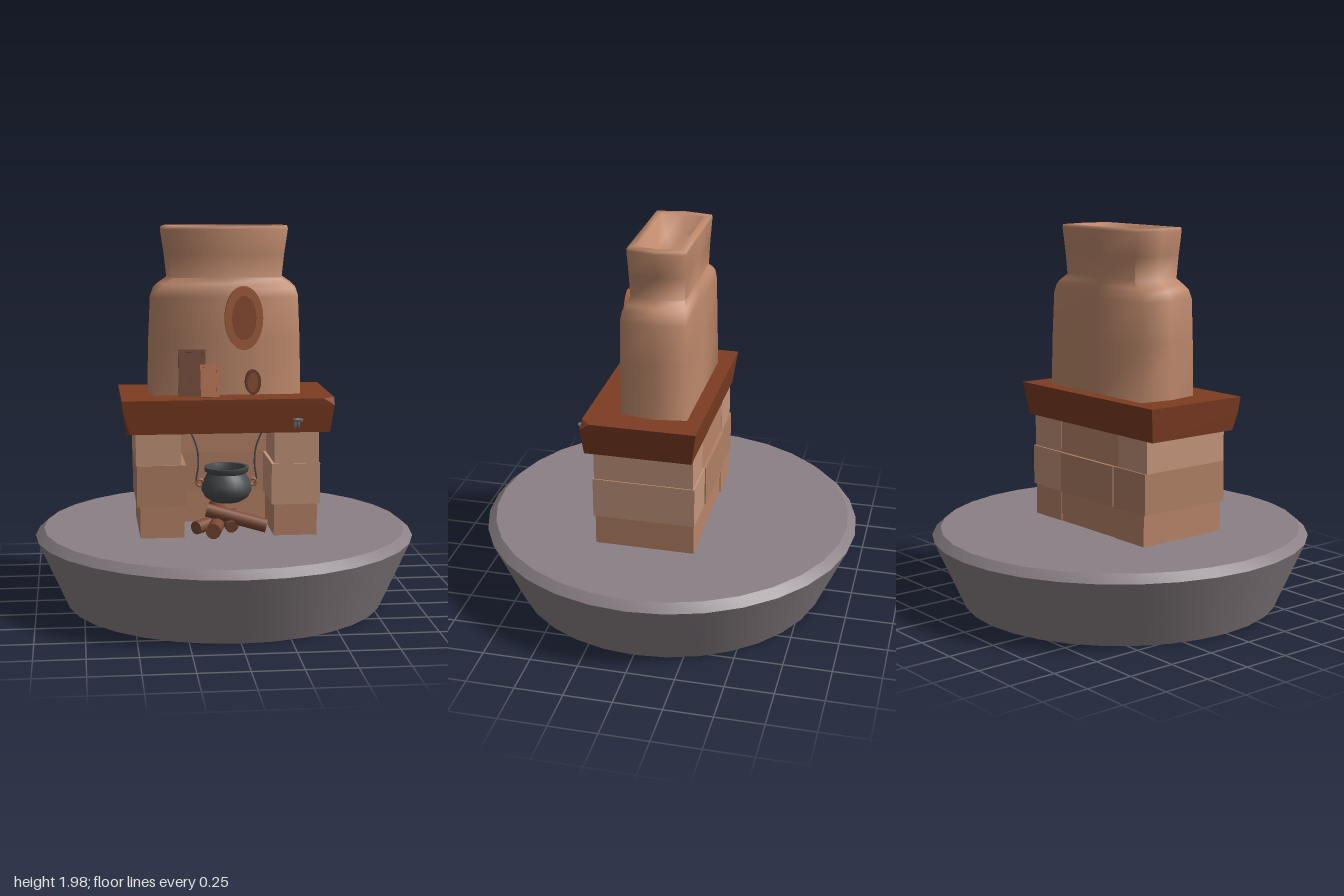
import * as THREE from 'three';
import { toCreasedNormals } from 'three/addons/utils/BufferGeometryUtils.js';
import { ConvexGeometry } from 'three/addons/geometries/ConvexGeometry.js';

const V = (x, y, z) => new THREE.Vector3(x, y, z);
const mat = (color, extra = {}) => new THREE.MeshStandardMaterial({ color, ...extra });

const SLATE = mat(0x8a8085);
const CLAY = mat(0xbd886b, { side: THREE.DoubleSide });
const STONES = [mat(0xb88468), mat(0xb08065), mat(0xc4957b)];
const MANTEL = mat(0x7d3c22);
const IRON = mat(0x484c4e, { side: THREE.DoubleSide });
const METAL = mat(0x70747a);
const BARK = mat(0x7c4a35);
const COPPER = mat(0xa8623f);
const DARK = mat(0x6e4331);
const MIDWOOD = mat(0x8f5034);

function add(parent, name, geometry, material, x = 0, y = 0, z = 0) {
  const mesh = new THREE.Mesh(geometry, material);
  mesh.name = name;
  mesh.position.set(x, y, z);
  parent.add(mesh);
  return mesh;
}

// Box given by its limits on each axis
function block(parent, name, material, x0, x1, y0, y1, z0, z1) {
  return add(parent, name, new THREE.BoxGeometry(x1 - x0, y1 - y0, z1 - z0), material,
    (x0 + x1) / 2, (y0 + y1) / 2, (z0 + z1) / 2);
}

function lathe(points, sides, crease) {
  const g = new THREE.LatheGeometry(points.map(p => new THREE.Vector2(...p)), sides);
  return toCreasedNormals(g, crease);
}

// Round bar between two points
function bar(parent, name, a, b, r, material) {
  const g = new THREE.CylinderGeometry(r, r, a.distanceTo(b), 12);
  const m = add(parent, name, g, material);
  m.position.copy(a).add(b).multiplyScalar(0.5);
  m.quaternion.setFromUnitVectors(V(0, 1, 0), b.clone().sub(a).normalize());
  return m;
}

function tube(points, r, seg = 20) {
  return new THREE.TubeGeometry(new THREE.CatmullRomCurve3(points), seg, r, 8);
}

// Loft of six-sided sections: [y, corner x, side x, front z, back z]
function loft(sections) {
  const pos = [], idx = [], n = 8;
  for (const [y, c, m, f, b] of sections) {
    const mid = (f + b) / 2;
    for (const [x, z] of [[-c, f], [0, f], [c, f], [m, mid], [c, b], [0, b], [-c, b], [-m, mid]]) pos.push(x, y, z);
  }
  for (let i = 0; i < sections.length - 1; i++) {
    for (let j = 0; j < n; j++) {
      const a = i * n + j, b = i * n + (j + 1) % n;
      idx.push(a, b, b + n, a, b + n, a + n);
    }
  }
  const g = new THREE.BufferGeometry();
  g.setAttribute('position', new THREE.Float32BufferAttribute(pos, 3));
  g.setIndex(idx);
  return toCreasedNormals(g, 1.45);
}

// Oval frame with an inset plate, its back at z
function ovalFrame(parent, name, x, y, z, rx, ry, ix, iy, depth, frameMat, plateMat) {
  const group = new THREE.Group();
  group.name = name;
  const shape = new THREE.Shape().absellipse(0, 0, rx, ry, 0, Math.PI * 2);
  shape.holes.push(new THREE.Path().absellipse(0, 0, ix, iy, 0, Math.PI * 2));
  const ring = new THREE.ExtrudeGeometry(shape, { depth, bevelEnabled: false, curveSegments: 24 });
  add(group, name + 'Rim', toCreasedNormals(ring, 0.7), frameMat);
  const plate = new THREE.CylinderGeometry(1, 1, depth * 0.7, 24).rotateX(Math.PI / 2).scale(ix, iy, 1);
  add(group, name + 'Plate', plate, plateMat, 0, 0, depth * 0.35);
  group.position.set(x, y, z);
  parent.add(group);
}

// Rectangular frame leaning back, pivoting on its bottom edge
function leaningFrame(parent, name, x, z, w, h, t, lean, frameMat, plateMat) {
  const group = new THREE.Group();
  group.name = name;
  const b = 0.014;
  for (const s of [-1, 1]) {
    add(group, name + 'Side', new THREE.BoxGeometry(b, h, t), frameMat, s * (w - b) / 2, h / 2, 0);
    add(group, name + 'Rail', new THREE.BoxGeometry(w - 2 * b, b, t), frameMat, 0, h / 2 + s * (h - b) / 2, 0);
  }
  add(group, name + 'Picture', new THREE.BoxGeometry(w - 2 * b, h - 2 * b, t * 0.5), plateMat, 0, h / 2, -t * 0.2);
  group.position.set(x, 1.122, z);
  group.rotation.x = -lean;
  parent.add(group);
}

export function createModel() {
  const root = new THREE.Group();
  root.name = 'fireplace';

  // Round plinth with a bevelled top edge
  add(root, 'plinth', lathe([[0, 0], [0.84, 0], [1, 0.36], [0.955, 0.4], [0, 0.4]], 32, 0.6), SLATE);

  // Stone pillars: [y0, y1, left x0, x1, right x0, x1, back z, front z]
  const courses = [
    [0.4, 0.565, -0.46, -0.235, 0.228, 0.452, -0.22, 0.3],
    [0.565, 0.778, -0.476, -0.224, 0.215, 0.466, -0.226, 0.308],
    [0.778, 0.95, -0.48, -0.25, 0.23, 0.46, -0.217, 0.302],
  ];
  courses.forEach(([y0, y1, a, b, c, d, z0, z1], i) => {
    block(root, 'pillarStone', i === 1 ? STONES[1] : STONES[i], a, b, y0, y1, z0, z1);
    block(root, 'pillarStone', i === 1 ? STONES[2] : STONES[i], c, d, y0, y1, z0, z1);
    // Back wall of the hearth
    block(root, 'backWallStone', STONES[i === 2 ? 0 : i], b, c, y0, y1, i === 1 ? -0.232 : -0.215, -0.05);
  });

  // Tapered mantel with two chipped corners
  add(root, 'mantel', new ConvexGeometry([
    V(-0.55, 1.12, 0.352), V(-0.55, 1.12, -0.245), V(0.535, 1.12, -0.245),
    V(0.475, 1.12, 0.352), V(0.535, 1.12, 0.3), V(0.531, 1.085, 0.35),
    V(-0.54, 1.04, 0.344), V(-0.51, 0.945, 0.336), V(-0.526, 0.945, 0.315),
    V(-0.526, 0.945, -0.22), V(0.51, 0.945, -0.22), V(0.51, 0.945, 0.336),
  ]), MANTEL);

  // Chimney hood, neck, rim and flue
  add(root, 'chimney', loft([
    [1.12, 0.378, 0.405, 0.178, -0.167],
    [1.4, 0.372, 0.398, 0.178, -0.162],
    [1.62, 0.362, 0.388, 0.178, -0.157],
    [1.665, 0.345, 0.372, 0.172, -0.152],
    [1.69, 0.32, 0.345, 0.16, -0.145],
    [1.72, 0.278, 0.302, 0.146, -0.131],
    [1.84, 0.29, 0.315, 0.15, -0.135],
    [1.965, 0.305, 0.334, 0.156, -0.142],
    [1.98, 0.302, 0.328, 0.154, -0.14],
    [1.98, 0.265, 0.29, 0.118, -0.105],
    [1.88, 0.225, 0.245, 0.087, -0.093],
    [1.88, 0, 0, 0, 0],
  ]), CLAY);

  // Wall mirror, small oval frame and leaning pictures
  ovalFrame(root, 'mirror', 0.082, 1.517, 0.17, 0.098, 0.163, 0.062, 0.115, 0.043, COPPER, MIDWOOD);
  ovalFrame(root, 'smallOvalFrame', 0.13, 1.187, 0.175, 0.041, 0.065, 0.029, 0.05, 0.035, DARK, MIDWOOD);
  leaningFrame(root, 'largePicture', -0.185, 0.233, 0.14, 0.24, 0.014, 0.18, DARK, DARK);
  leaningFrame(root, 'smallPicture', -0.097, 0.264, 0.096, 0.168, 0.012, 0.28, COPPER, COPPER);

  // Hook on the front of the mantel
  const hook = new THREE.Group();
  hook.name = 'hook';
  add(hook, 'hookPlate', new THREE.BoxGeometry(0.024, 0.045, 0.012), METAL, 0, 0, 0.342);
  add(hook, 'hookStem', tube([V(0, -0.012, 0.34), V(0, -0.016, 0.372), V(0, -0.002, 0.388), V(0, 0.018, 0.39)], 0.009), METAL);
  add(hook, 'hookCap', new THREE.CylinderGeometry(0.027, 0.024, 0.01, 16), METAL, 0, 0.022, 0.388);
  hook.position.set(0.338, 0.995, 0);
  root.add(hook);

  // Cauldron with ears and hanging wires
  const cauldron = new THREE.Group();
  cauldron.name = 'cauldron';
  add(cauldron, 'pot', lathe([
    [0, 0.55], [0.075, 0.552], [0.112, 0.575], [0.132, 0.612], [0.13, 0.645], [0.11, 0.682], [0.1, 0.702],
    [0.114, 0.712], [0.117, 0.735], [0.1, 0.735], [0.09, 0.7], [0.11, 0.64], [0.08, 0.58], [0, 0.575],
  ], 24, 0.9), IRON);
  for (const s of [-1, 1]) {
    add(cauldron, 'potEar', new THREE.TorusGeometry(0.017, 0.008, 8, 16), COPPER, s * 0.139, 0.65, 0);
    add(cauldron, 'hangingWire', tube([V(s * 0.14, 0.633, 0), V(s * 0.157, 0.66, 0), V(s * 0.148, 0.74, 0),
      V(s * 0.152, 0.82, 0), V(s * 0.172, 0.885, 0), V(s * 0.2, 0.945, 0)], 0.0045, 30), IRON);
  }
  cauldron.position.z = 0.13;
  root.add(cauldron);

  // Stacked firewood
  const logs = new THREE.Group();
  logs.name = 'firewood';
  bar(logs, 'log', V(-0.09, 0.44, 0.35), V(-0.01, 0.44, 0), 0.04, BARK);
  bar(logs, 'log', V(-0.17, 0.435, 0.24), V(0.06, 0.45, 0.02), 0.035, BARK);
  bar(logs, 'log', V(0.02, 0.435, 0.24), V(-0.05, 0.515, 0.02), 0.035, BARK);
  bar(logs, 'log', V(-0.11, 0.518, 0.19), V(0.198, 0.437, 0.24), 0.036, BARK);
  root.add(logs);

  return root;
}
